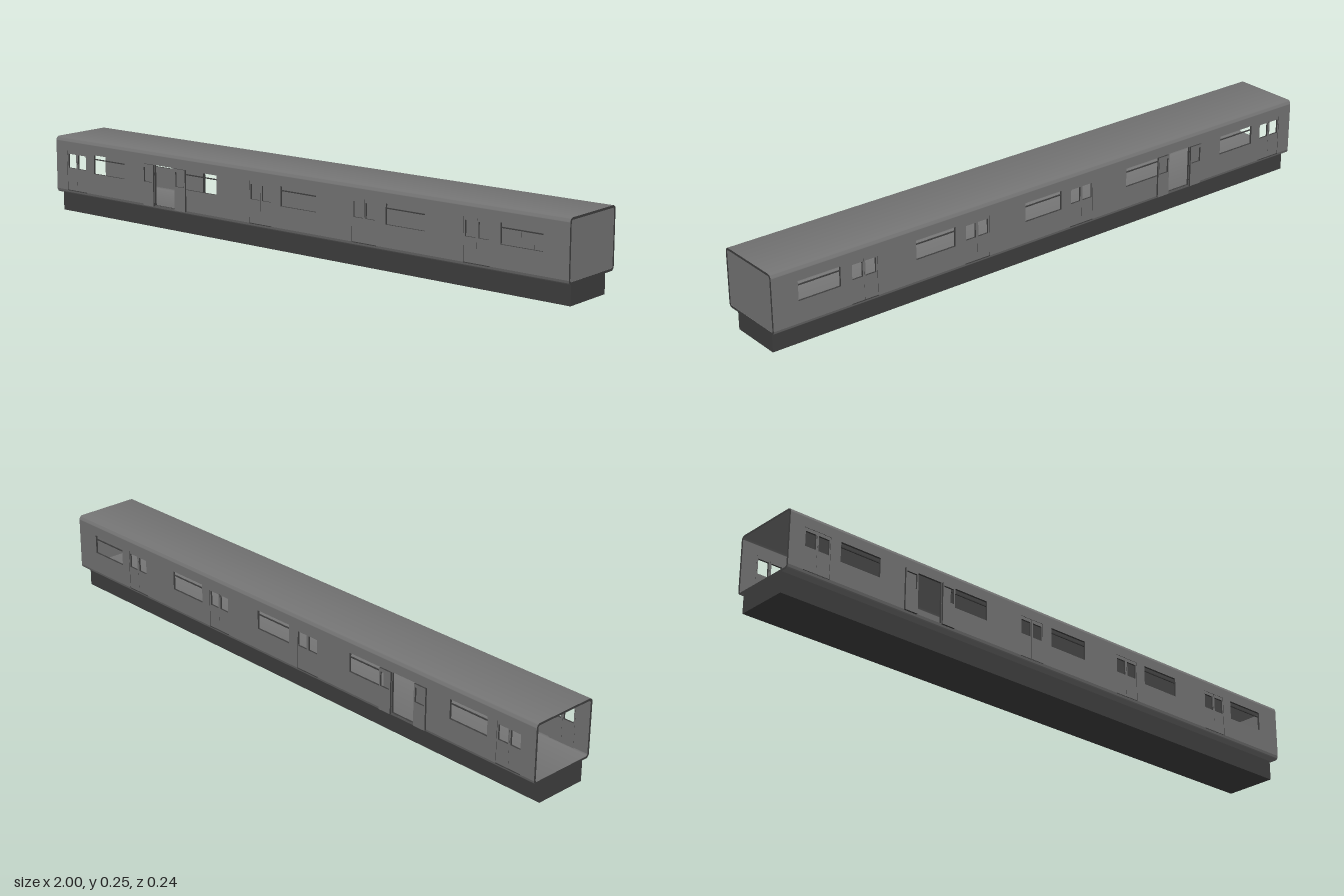
import * as THREE from 'three';
import { toCreasedNormals } from 'three/addons/utils/BufferGeometryUtils.js';

const W = 0.115, T = 0.007, R = 0.013;   // half width, wall thickness, corner radius
const Y0 = 0.065, Y1 = 0.252;            // hull bottom and top
const PITCH = 0.4, BAYS = 5, OPEN_BAY = 1;
const DOOR_X = -0.905, WINDOW_X = -0.755;
const DOOR = { w: 0.09, y0: 0.0785, y1: 0.209 };

export function createModel() {
  const car = new THREE.Group();
  car.name = 'railCar';
  const paint = new THREE.MeshStandardMaterial({ color: 0x747474 });
  paint.name = 'grey paint';
  const dark = new THREE.MeshStandardMaterial({ color: 0x3e3e3e });
  dark.name = 'dark trim';

  const add = (name, geo, mat, x = 0, y = 0, z = 0, parent = car) => {
    const m = new THREE.Mesh(geo, mat);
    m.name = name;
    m.position.set(x, y, z);
    parent.add(m);
    return m;
  };
  const rect = (Type, x0, x1, y0, y1) => new Type([
    new THREE.Vector2(x0, y0), new THREE.Vector2(x1, y0),
    new THREE.Vector2(x1, y1), new THREE.Vector2(x0, y1)]);
  const extrude = (shape, depth) =>
    new THREE.ExtrudeGeometry(shape, { depth, bevelEnabled: false, curveSegments: 8 });
  // Extrusion running along x; the shape is drawn in z and y
  const alongX = (shape, x0, x1) => toCreasedNormals(
    extrude(shape, x1 - x0).rotateY(Math.PI / 2).translate(x0, 0, 0), 0.6);

  // Roof and floor: one channel profile with rounded corners, flipped for the floor
  const c = W - R, cy = Y1 - R;
  const channel = new THREE.Shape();
  channel.moveTo(W, cy);
  channel.absarc(c, cy, R, 0, Math.PI / 2, false);
  channel.absarc(-c, cy, R, Math.PI / 2, Math.PI, false);
  channel.lineTo(-W + T, cy);
  channel.absarc(-c, cy, R - T, Math.PI, Math.PI / 2, true);
  channel.absarc(c, cy, R - T, Math.PI / 2, 0, true);
  channel.closePath();
  const flipped = new THREE.Shape(
    channel.getPoints(8).map(p => new THREE.Vector2(p.x, Y0 + Y1 - p.y)));
  add('roof', alongX(channel, -1, 1), [dark, paint]);
  add('floor', alongX(flipped, -1, 1), [dark, paint]);

  // Side wall with window and door openings
  const wall = rect(THREE.Shape, -1, 1, Y0 + R, Y1 - R);
  for (let i = 0; i < BAYS; i++) {
    const d = DOOR_X + i * PITCH, w = WINDOW_X + i * PITCH;
    wall.holes.push(rect(THREE.Path, d - DOOR.w / 2, d + DOOR.w / 2, DOOR.y0, DOOR.y1));
    wall.holes.push(rect(THREE.Path, w - 0.07, w + 0.07, 0.146, 0.208));
  }
  const wallGeo = extrude(wall, T);

  // Sliding door leaf with its window
  const leaf = rect(THREE.Shape, -0.0225, 0.0225, DOOR.y0 - 0.003, DOOR.y1);
  leaf.holes.push(rect(THREE.Path, -0.018, 0.018, 0.152, 0.199));
  const leafGeo = extrude(leaf, 0.006);
  const barGeo = new THREE.BoxGeometry(0.14, 0.003, 0.004);
  const sillGeo = new THREE.BoxGeometry(DOOR.w, 0.002, 0.001);

  for (const s of [1, -1]) {
    const side = new THREE.Group();
    side.name = s > 0 ? 'frontSide' : 'backSide';
    if (s < 0) side.rotation.y = Math.PI;
    car.add(side);
    // The wall is turned round on the back, so x positions are mirrored there
    const wallMesh = add('sideWall', wallGeo, [paint, dark], 0, 0, s > 0 ? W - T : -W);
    wallMesh.name = s > 0 ? 'frontWall' : 'backWall';
    for (let i = 0; i < BAYS; i++) {
      const d = s * (DOOR_X + i * PITCH), w = s * (WINDOW_X + i * PITCH);
      const open = i === OPEN_BAY;
      for (const k of [-1, 1]) {
        add('doorLeaf', leafGeo, [paint, dark],
          d + k * (open ? 0.069 : 0.0227), 0, open ? W + 0.0005 : W - 0.0075, side);
      }
      add('windowBar', barGeo, dark, w, 0.194, W - 0.004, side);
      if (!open) add('doorSill', sillGeo, dark, d, 0.0775, W, side);
    }
  }

  // Closed bulkhead at one end; the other end stays open
  const r = R - T, a = W - T, b0 = Y0 + T, b1 = Y1 - T;
  const end = new THREE.Shape();
  end.absarc(a - r, b1 - r, r, 0, Math.PI / 2, false);
  end.absarc(-a + r, b1 - r, r, Math.PI / 2, Math.PI, false);
  end.absarc(-a + r, b0 + r, r, Math.PI, Math.PI * 1.5, false);
  end.absarc(a - r, b0 + r, r, Math.PI * 1.5, Math.PI * 2, false);
  add('endBulkhead', alongX(end, 0.992, 0.999), paint);

  // Underframe
  add('underframe', new THREE.BoxGeometry(1.99, Y0, 0.175), dark, -0.005, Y0 / 2, 0);
  return car;
}
